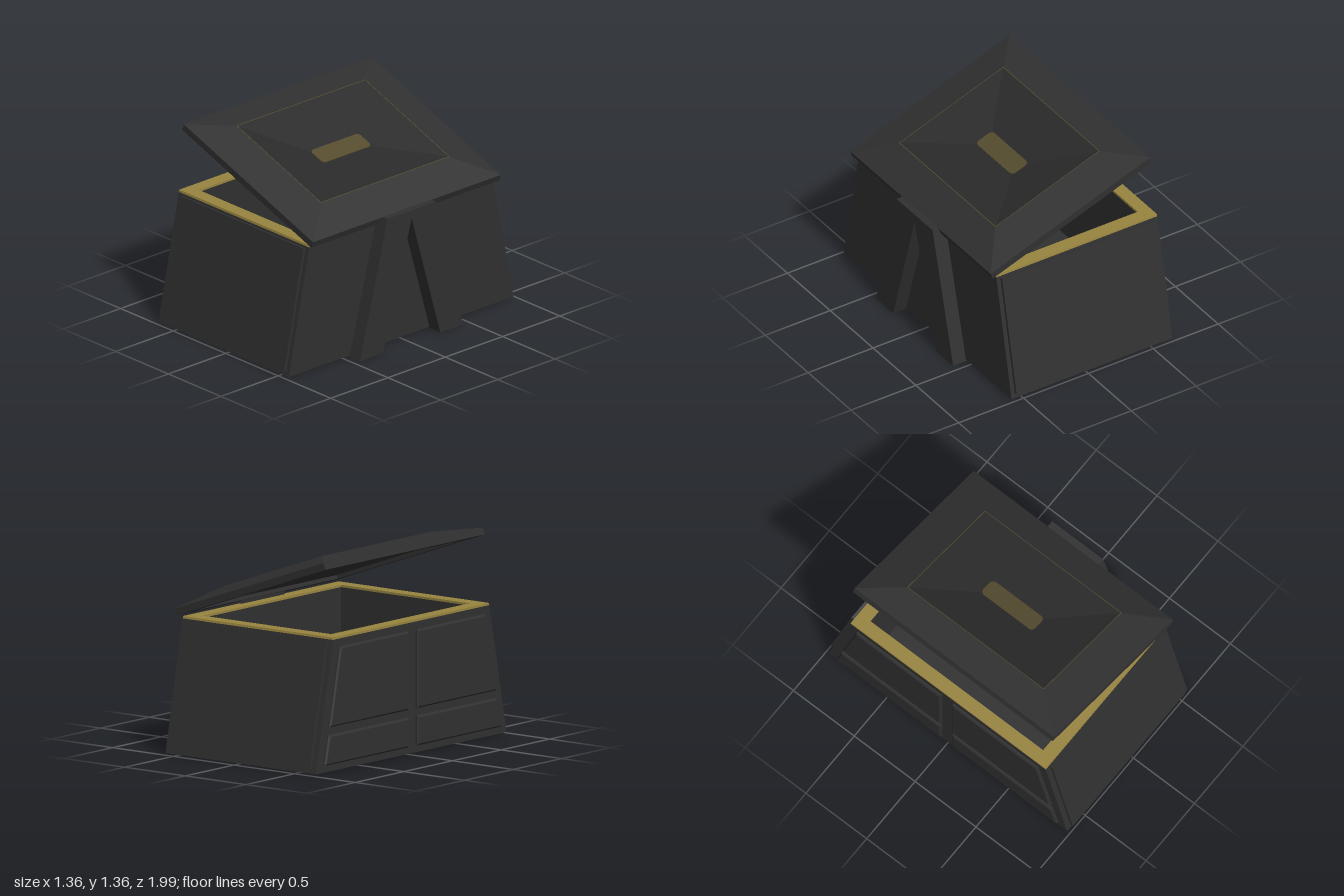
import * as THREE from 'three';

const mat = (name, color) => {
  const m = new THREE.MeshStandardMaterial({ color });
  m.name = name;
  return m;
};

// Skin through rectangular loops [y, x0, x1, halfZ], flat faces, optional end caps
function loft(loops, capStart, capEnd) {
  const pos = [];
  const corners = ([y, x0, x1, hz]) => [[x0, y, hz], [x1, y, hz], [x1, y, -hz], [x0, y, -hz]];
  const quad = (a, b, c, d) => pos.push(...a, ...b, ...c, ...a, ...c, ...d);
  const rings = loops.map(corners);
  for (let i = 0; i + 1 < rings.length; i++) {
    for (let k = 0; k < 4; k++) {
      const n = (k + 1) % 4;
      quad(rings[i][k], rings[i][n], rings[i + 1][n], rings[i + 1][k]);
    }
  }
  if (capStart) quad(...[...rings[0]].reverse());
  if (capEnd) quad(...rings[rings.length - 1]);
  const g = new THREE.BufferGeometry();
  g.setAttribute('position', new THREE.Float32BufferAttribute(pos, 3));
  g.computeVertexNormals();
  return g;
}

const polygon = (pts) => new THREE.Shape(pts.map(([x, y]) => new THREE.Vector2(x, y)));

export function createModel() {
  const charcoal = mat('charcoal', 0x303030);
  const dark = mat('dark charcoal', 0x2a2a2a);
  const gold = mat('gold', 0x988440);
  const bronze = mat('dull bronze', 0x554c2f);

  const model = new THREE.Group();
  model.name = 'openChest';
  const add = (parent, name, geometry, material) => {
    const mesh = new THREE.Mesh(geometry, material);
    mesh.name = name;
    parent.add(mesh);
    return mesh;
  };

  // Body: sloping ends, straight-walled cavity
  const SLOPE = 0.18 / 0.87;
  const halfZ = (y) => 0.98 - SLOPE * (y - 0.01);
  const X0 = -0.66, X1 = 0.58, TOP = 0.88, RIM = 0.865, WALL = 0.09;
  const inner = [X0 + WALL, X1 - WALL, halfZ(TOP) - WALL];
  add(model, 'bodyShell', loft([[0.01, X0, X1, halfZ(0.01)], [RIM, X0, X1, halfZ(RIM)]], true, false), charcoal);
  add(model, 'cavity', loft([[RIM, ...inner], [0.2, ...inner]], false, true), charcoal);
  add(model, 'rim', loft([
    [RIM, X0, X1, halfZ(RIM)], [TOP, X0, X1, halfZ(TOP)], [TOP, ...inner], [RIM, ...inner],
  ], false, false), gold);

  // Raised panels on the sloping ends
  for (const s of [1, -1]) {
    const panel = add(model, 'endPanel', new THREE.BoxGeometry(1.17, 0.83, 0.04), charcoal);
    panel.position.set(-0.035, 0.445, s * halfZ(0.445));
    panel.rotation.x = -s * Math.atan(SLOPE);
  }

  // Four bevelled panels on the -x face
  const B = 0.012;
  for (const s of [1, -1]) {
    for (const [y0, y1] of [[0.055, 0.25], [0.3, 0.815]]) {
      const outer = (y) => halfZ(y) - 0.065 - B;
      const shape = polygon([
        [s * (0.045 + B), y0 + B], [s * outer(y0), y0 + B],
        [s * outer(y1), y1 - B], [s * (0.045 + B), y1 - B],
      ]);
      const g = new THREE.ExtrudeGeometry(shape, {
        depth: 0.02, bevelEnabled: true, bevelSize: B, bevelThickness: 0.01, bevelSegments: 1,
      });
      g.rotateY(-Math.PI / 2);
      add(model, 'sidePanel', g, charcoal).position.x = -0.65;
    }
  }

  // A-shaped hinge support on the +x face
  const support = new THREE.ExtrudeGeometry(polygon([
    [-0.45, 0], [-0.25, 0], [0, 0.87], [0.25, 0], [0.45, 0], [0.21, 0.925], [-0.21, 0.925],
  ]), { depth: 0.12, bevelEnabled: false });
  support.rotateY(Math.PI / 2);
  add(model, 'hingeSupport', support, charcoal).position.x = 0.56;

  // Tilted lid: recessed underside, sloping border, sunken centre
  const lid = new THREE.Group();
  lid.name = 'lid';
  lid.position.set(0.005, 1.1, 0);
  lid.rotation.z = -0.343;
  model.add(lid);
  const ridge = [0.105, -0.44, 0.41, 0.56];
  add(lid, 'lidShell', loft([
    [0.025, -0.56, 0.56, 0.73], [0, -0.56, 0.56, 0.73],
    [0, -0.653, 0.653, 0.82], [0.046, -0.653, 0.653, 0.82], ridge,
  ], true, false), charcoal);
  add(lid, 'lidInset', loft([ridge, [0.043, -0.085, 0.055, 0.215]], false, true), dark);
  add(lid, 'lidTrim', loft([[0.106, -0.442, 0.412, 0.562], [0.106, -0.437, 0.407, 0.557]], false, false), bronze);

  // Rounded plate at the centre of the lid
  const w = 0.068, h = 0.213, r = 0.03;
  const plate = new THREE.Shape();
  plate.absarc(w - r, h - r, r, 0, Math.PI / 2);
  plate.absarc(-w + r, h - r, r, Math.PI / 2, Math.PI);
  plate.absarc(-w + r, -h + r, r, Math.PI, Math.PI * 1.5);
  plate.absarc(w - r, -h + r, r, Math.PI * 1.5, Math.PI * 2);
  const plateGeo = new THREE.ExtrudeGeometry(plate, { depth: 0.008, bevelEnabled: false, curveSegments: 5 });
  plateGeo.rotateX(-Math.PI / 2);
  add(lid, 'lidPlate', plateGeo, bronze).position.set(-0.015, 0.04, 0);

  return model;
}
